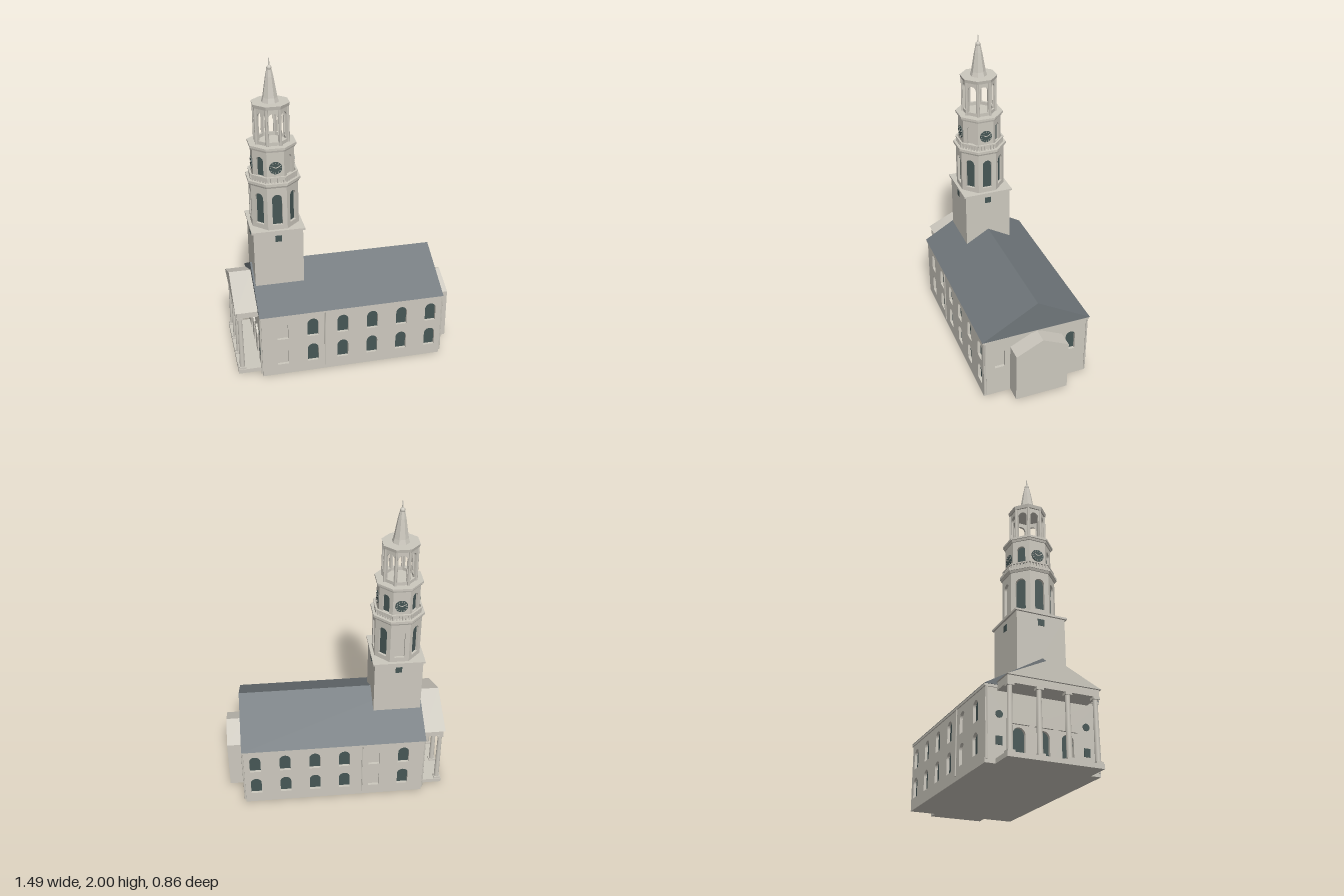
import * as THREE from 'three';

const stone = new THREE.MeshStandardMaterial({ color: 0xccc8be });
stone.name = 'stone';
const slate = new THREE.MeshStandardMaterial({ color: 0x6f767a });
slate.name = 'slate';
const glass = new THREE.MeshStandardMaterial({ color: 0x465655 });
glass.name = 'darkGlass';

function add(parent, name, geo, mat, x = 0, y = 0, z = 0) {
  const m = new THREE.Mesh(geo, mat);
  m.name = name;
  m.position.set(x, y, z);
  parent.add(m);
  return m;
}
const box = (w, h, d) => new THREE.BoxGeometry(w, h, d);

// Round-headed outline, centred on x with its sill at y
function arch(C, x, y, w, h) {
  const r = w / 2;
  const p = new C();
  p.moveTo(x - r, y);
  p.lineTo(x + r, y);
  p.lineTo(x + r, y + h - r);
  p.absarc(x, y + h - r, r, 0, Math.PI, false);
  p.lineTo(x - r, y);
  return p;
}

// Wall with real openings; outer face at z = 0. Openings: [x, y, w, h, kind]
function wall(parent, name, w, y0, y1, depth, openings) {
  const g = new THREE.Group();
  g.name = name;
  parent.add(g);
  const s = new THREE.Shape();
  s.moveTo(-w / 2, y0);
  s.lineTo(w / 2, y0);
  s.lineTo(w / 2, y1);
  s.lineTo(-w / 2, y1);
  s.closePath();
  for (const [x, y, ow, oh, kind] of openings) {
    s.holes.push(arch(THREE.Path, x, y, ow, oh));
    if (kind === 'open') continue;
    const pane = new THREE.ExtrudeGeometry(arch(THREE.Shape, x, y, ow, oh), { depth: 0.004, bevelEnabled: false, curveSegments: 8 });
    add(g, kind === 'blind' ? 'blindPanel' : 'windowPane', pane, kind === 'blind' ? stone : glass, 0, 0, -depth);
  }
  const geo = new THREE.ExtrudeGeometry(s, { depth, bevelEnabled: false, curveSegments: 8 });
  add(g, name + 'Panel', geo, stone, 0, 0, -depth);
  return g;
}

// Prism with a ridge along x: width across z, from x0 to x1
function gable(parent, name, mat, half, y0, eave, ridge, x0, x1) {
  const s = new THREE.Shape();
  s.moveTo(-half, y0);
  s.lineTo(half, y0);
  if (eave > y0) s.lineTo(half, eave);
  s.lineTo(0, ridge);
  if (eave > y0) s.lineTo(-half, eave);
  s.closePath();
  const geo = new THREE.ExtrudeGeometry(s, { depth: x1 - x0, bevelEnabled: false });
  geo.rotateY(Math.PI / 2);
  add(parent, name, geo, mat, x0);
}

// Octagonal slab with flat sides facing the axes
function octagon(parent, name, r, y0, y1, r2 = r) {
  const geo = new THREE.CylinderGeometry(r2, r, y1 - y0, 8, 1).toNonIndexed();
  geo.rotateY(Math.PI / 8);
  geo.computeVertexNormals();
  add(parent, name, geo, stone, 0, (y0 + y1) / 2);
}

// Eight wall panels around the tower axis
function octagonStage(parent, name, apothem, y0, y1, depth, openingsFor) {
  for (let k = 0; k < 8; k++) {
    const side = new THREE.Group();
    side.name = name + 'Side';
    side.rotation.y = k * Math.PI / 4;
    parent.add(side);
    const w = 2 * apothem * Math.tan(Math.PI / 8);
    wall(side, name, w, y0, y1, depth, openingsFor(k, side)).position.z = apothem;
  }
}

function clock(parent, y, z) {
  const g = new THREE.Group();
  g.name = 'clock';
  g.position.set(0, y, z);
  parent.add(g);
  add(g, 'clockFace', new THREE.CylinderGeometry(0.04, 0.04, 0.006, 24).rotateX(Math.PI / 2), glass);
  for (let i = 0; i < 12; i++) {
    const a = i * Math.PI / 6;
    add(g, 'hourMark', box(0.003, 0.008, 0.002), stone, Math.sin(a) * 0.032, Math.cos(a) * 0.032, 0.004).rotation.z = -a;
  }
  for (const [a, l] of [[-1.0, 0.022], [1.15, 0.03]]) {
    add(g, 'clockHand', box(0.004, l, 0.002), stone, Math.sin(a) * l / 2, Math.cos(a) * l / 2, 0.004).rotation.z = -a;
  }
}

function buildHall(root) {
  const L = 0.595, W = 0.352, T = 0.43, D = 0.022;
  add(root, 'hallCore', box(2 * (L - D), T, 2 * (W - D)), stone, 0, T / 2);
  // Long walls with two rows of windows
  const columns = [-0.46, -0.264, -0.067, 0.129, 0.325, 0.522];
  for (const s of [1, -1]) {
    const holes = [];
    columns.forEach((u, i) => {
      const kind = i === (s > 0 ? 0 : 1) ? 'blind' : 'glass';
      for (const y of [0.075, 0.265]) holes.push([u * s, y, 0.072, 0.128, kind]);
    });
    const g = wall(root, 'longWall', 2 * L, 0, T, D, holes);
    g.position.z = s * W;
    if (s < 0) g.rotation.y = Math.PI;
    add(root, 'downpipe', new THREE.CylinderGeometry(0.004, 0.004, 0.4, 8), stone, -0.185, 0.23, s * (W + 0.004));
  }
  // End walls
  const east = wall(root, 'eastWall', 2 * W, 0, T, D,
    [[-0.243, 0.21, 0.065, 0.145, 'blind'], [0.236, 0.21, 0.065, 0.145, 'glass']]);
  east.position.x = L;
  east.rotation.y = Math.PI / 2;
  const west = wall(root, 'westWall', 2 * W, 0, T, D,
    [-0.15, 0, 0.15].map(v => [v, 0.03, 0.075, 0.19, 'glass']));
  west.position.x = -L;
  west.rotation.y = -Math.PI / 2;
  for (const v of [-0.15, 0, 0.15]) {
    gable(root, 'doorPediment', stone, 0.058, 0.235, 0.235, 0.275, -L - 0.012, -L);
    root.children[root.children.length - 1].position.z = v;
  }
  for (const v of [-0.27, 0.27]) {
    add(root, 'roundWindow', new THREE.CylinderGeometry(0.022, 0.022, 0.006, 16).rotateZ(Math.PI / 2), glass, -L - 0.001, 0.28, v);
    add(root, 'lowWindow', box(0.006, 0.05, 0.04), glass, -L - 0.001, 0.13, v);
  }
  for (const x of [-L - 0.005, L + 0.006]) for (const z of [-W + 0.008, W - 0.008]) {
    add(root, 'cornerPipe', new THREE.CylinderGeometry(0.006, 0.006, 0.41, 8), stone, x, 0.225, z);
  }
  add(root, 'eavesCornice', box(1.204, 0.016, 0.718), stone, 0, 0.438);
  gable(root, 'mainRoof', slate, 0.362, 0.445, 0.445, 0.655, -0.605, 0.605);
  gable(root, 'chancel', stone, 0.175, 0.008, 0.355, 0.44, L - 0.01, 0.702);
}

function buildPortico(root) {
  add(root, 'porticoStep', box(0.155, 0.028, 0.58), stone, -0.667, 0.014);
  add(root, 'entablature', box(0.14, 0.045, 0.565), stone, -0.665, 0.437);
  gable(root, 'pediment', stone, 0.292, 0.458, 0.458, 0.597, -0.747, -0.6);
  for (let i = 0; i < 4; i++) {
    const z = -0.264 + i * 0.176;
    add(root, 'column', new THREE.CylinderGeometry(0.014, 0.017, 0.37, 16), stone, -0.718, 0.22, z);
    add(root, 'columnBase', box(0.044, 0.014, 0.044), stone, -0.718, 0.034, z);
    add(root, 'columnCapital', box(0.04, 0.014, 0.04), stone, -0.718, 0.408, z);
  }
}

function buildTower(root) {
  const t = new THREE.Group();
  t.name = 'tower';
  t.position.x = -0.436;
  root.add(t);
  // Square base
  add(t, 'towerBase', box(0.314, 0.54, 0.314), stone, 0, 0.67);
  add(t, 'towerBaseCornice', box(0.338, 0.012, 0.338), stone, 0, 0.942);
  for (let k = 0; k < 4; k++) {
    const a = k * Math.PI / 2;
    add(t, 'smallWindow', box(0.042, 0.042, 0.006), glass, Math.sin(a) * 0.156, 0.888, Math.cos(a) * 0.156).rotation.y = a;
  }
  // Belfry
  octagonStage(t, 'belfry', 0.148, 0.945, 1.24, 0.02, k => [[0, 0.98, 0.062, 0.205, k === 4 ? 'blind' : 'glass']]);
  octagon(t, 'belfryCornice', 0.166, 1.232, 1.246, 0.172);
  octagon(t, 'belfryCorniceTop', 0.176, 1.246, 1.262);
  // Balustrade
  for (let k = 0; k < 8; k++) {
    const g = new THREE.Group();
    g.name = 'balustrade';
    g.rotation.y = k * Math.PI / 4;
    t.add(g);
    const a = 0.143, w = 2 * a * Math.tan(Math.PI / 8);
    add(g, 'handrail', box(w, 0.008, 0.012), stone, 0, 1.297, a);
    for (let i = 0; i < 6; i++) {
      add(g, 'baluster', box(0.009, 0.036, 0.008), stone, (i - 2.5) * w / 6, 1.278, a);
    }
  }
  // Clock stage
  octagonStage(t, 'clockStage', 0.129, 1.26, 1.466, 0.018, (k, side) => {
    if (k % 2) return [[0, 1.295, 0.052, 0.125, k === 1 ? 'blind' : 'glass']];
    clock(side, 1.355, 0.131);
    return [];
  });
  octagon(t, 'clockCornice', 0.146, 1.458, 1.472, 0.15);
  octagon(t, 'clockCorniceTop', 0.156, 1.472, 1.486);
  // Open lantern
  octagonStage(t, 'lantern', 0.099, 1.486, 1.72, 0.014, () => [[0, 1.508, 0.055, 0.18, 'open']]);
  for (let k = 0; k < 8; k++) {
    const a = (k + 0.5) * Math.PI / 4;
    add(t, 'lanternColumn', new THREE.CylinderGeometry(0.008, 0.009, 0.23, 8), stone, Math.sin(a) * 0.107, 1.601, Math.cos(a) * 0.107);
  }
  octagon(t, 'lanternCornice', 0.116, 1.714, 1.736, 0.121);
  // Spire with finial
  const profile = [[0.056, 1.735], [0.047, 1.765], [0.036, 1.83], [0.026, 1.89], [0.016, 1.935]];
  const spire = new THREE.LatheGeometry(profile.map(([r, y]) => new THREE.Vector2(r, y)), 8, Math.PI / 8).toNonIndexed();
  spire.computeVertexNormals();
  add(t, 'spire', spire, stone);
  add(t, 'finialBall', new THREE.SphereGeometry(0.016, 12, 8), stone, 0, 1.942);
  add(t, 'finialRod', new THREE.CylinderGeometry(0.003, 0.005, 0.05, 8), stone, 0, 1.975);
}

export function createModel() {
  const model = new THREE.Group();
  model.name = 'church';
  const body = new THREE.Group();
  body.name = 'churchBody';
  body.position.x = 0.03;
  body.rotation.y = 0.119;
  model.add(body);
  buildHall(body);
  buildPortico(body);
  buildTower(body);
  return model;
}
